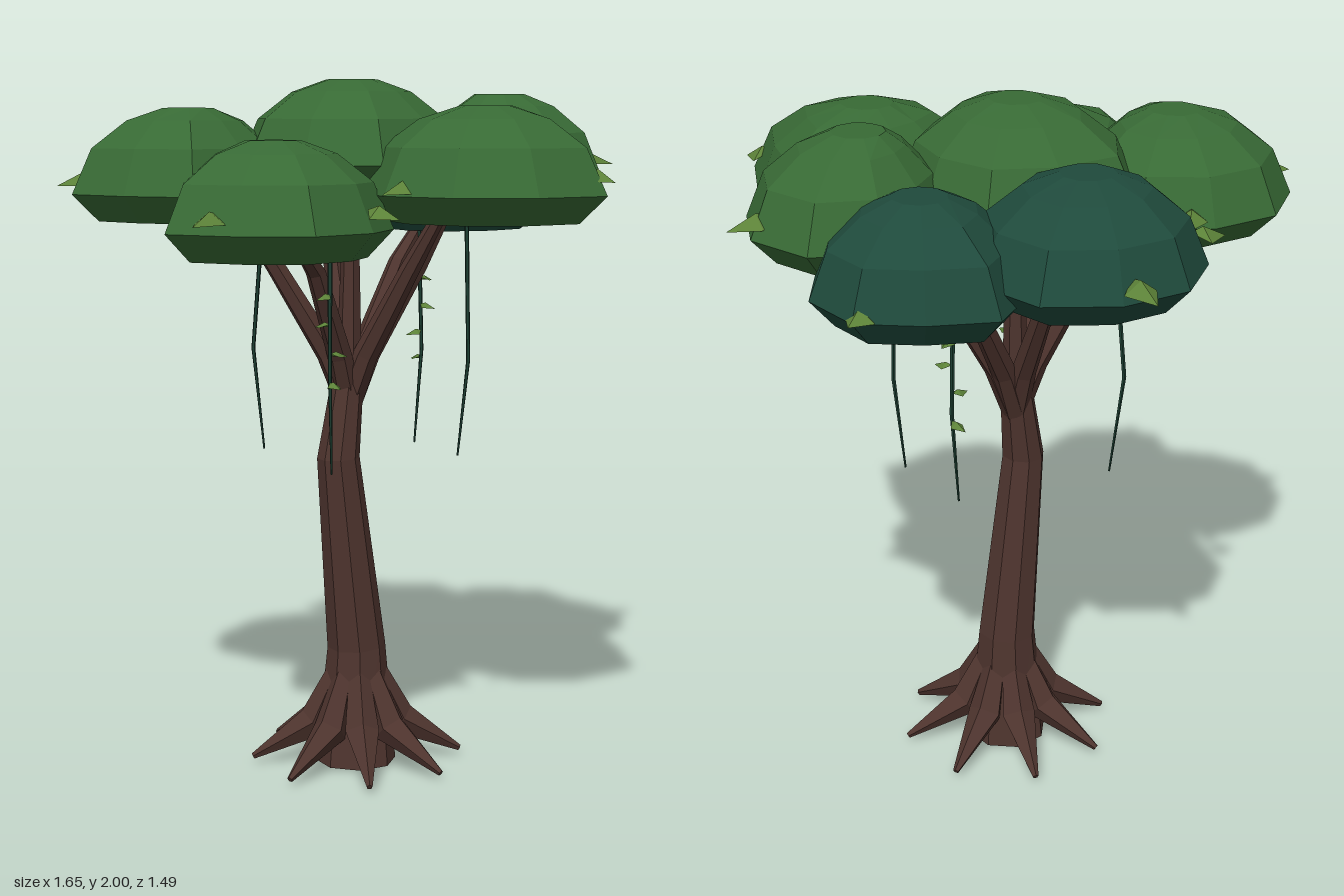
import * as THREE from 'three';

const V = (x, y, z) => new THREE.Vector3(x, y, z);

const mats = {};
for (const [name, color] of [['bark', 0x4e342e], ['leafGreen', 0x386a35], ['deepGreen', 0x1f4a3c],
  ['vineGreen', 0x1b3d30], ['freshLeaf', 0x5c8238]]) {
  mats[name] = new THREE.MeshStandardMaterial({ color });
  mats[name].name = name;
}
mats.freshLeaf.side = THREE.DoubleSide;

// Faceted geometry from triangles given as corner points
function faceted(tris) {
  const g = new THREE.BufferGeometry().setFromPoints(tris);
  g.computeVertexNormals();
  return g;
}

// Skins a stack of closed rings and caps both ends
function loft(rings) {
  const tris = [];
  const n = rings[0].length;
  const middle = (r) => r.reduce((s, p) => s.add(p), V(0, 0, 0)).divideScalar(n);
  const first = rings[0], last = rings[rings.length - 1];
  const c0 = middle(first), c1 = middle(last);
  for (let j = 0; j < n; j++) {
    const k = (j + 1) % n;
    for (let i = 0; i < rings.length - 1; i++) {
      const a = rings[i], b = rings[i + 1];
      tris.push(a[j], a[k], b[k], a[j], b[k], b[j]);
    }
    tris.push(c0, first[k], first[j], c1, last[j], last[k]);
  }
  return faceted(tris);
}

// Tapered limb along a path, one radius per point
function limb(path, radii, sides) {
  return loft(path.map((p, i) => {
    const t = path[Math.min(i + 1, path.length - 1)].clone().sub(path[Math.max(i - 1, 0)]).normalize();
    const u = V(0, 0, 1).cross(t).normalize();
    const v = t.clone().cross(u);
    return Array.from({ length: sides }, (_, j) => {
      const a = (j / sides) * Math.PI * 2;
      return p.clone().addScaledVector(u, radii[i] * Math.cos(a)).addScaledVector(v, radii[i] * Math.sin(a));
    });
  }));
}

// Flat-bottomed dome: [share of radius, height], from the top down
const DOME = [[0.22, 0.31], [0.53, 0.275], [0.83, 0.2], [1, 0.075], [0.78, 0]];
function dome(phase, radii) {
  return loft(DOME.map(([s, y]) => radii.map((r, j) => {
    const a = THREE.MathUtils.degToRad(phase + j * 36);
    const rr = s * (s < 0.5 ? 0.33 : r);
    return V(rr * Math.cos(a), y, rr * Math.sin(a));
  })));
}

// Folded kite-shaped leaf from base to tip
function leaf(base, tip, width) {
  const along = tip.clone().sub(base);
  const side = V(along.z, 0, -along.x).normalize().multiplyScalar(width / 2);
  const mid = base.clone().addScaledVector(along, 0.35);
  const ridge = mid.clone().add(V(0, width * 0.22, 0));
  const l = mid.clone().add(side).add(V(0, -width * 0.15, 0));
  const r = mid.clone().sub(side).add(V(0, -width * 0.15, 0));
  return faceted([base, l, ridge, l, tip, ridge, base, ridge, r, r, ridge, tip]);
}

// Crowns: centre x, base y, centre z, phase in degrees, ten outline radii
const CROWNS = [
  ['leafGreen', 0.02, 1.69, -0.11, -16, [0.335, 0.315, 0.32, 0.31, 0.365, 0.345, 0.34, 0.325, 0.37, 0.33]],
  ['leafGreen', 0.03, 1.615, 0.347, 15, [0.345, 0.31, 0.375, 0.36, 0.355, 0.35, 0.345, 0.28, 0.28, 0.33]],
  ['leafGreen', 0.36, 1.65, 0.165, -8, [0.32, 0.32, 0.3, 0.27, 0.26, 0.235, 0.24, 0.23, 0.235, 0.275]],
  ['leafGreen', -0.34, 1.61, -0.41, -9, [0.33, 0.31, 0.28, 0.28, 0.35, 0.31, 0.34, 0.33, 0.335, 0.325]],
  ['leafGreen', -0.44, 1.525, -0.01, 13, [0.31, 0.32, 0.315, 0.335, 0.32, 0.345, 0.285, 0.28, 0.28, 0.3]],
  ['deepGreen', 0.255, 1.605, -0.44, -7, [0.335, 0.32, 0.31, 0.3, 0.29, 0.28, 0.3, 0.31, 0.32, 0.315]],
  ['deepGreen', 0.5, 1.56, -0.1, 3, [0.3, 0.295, 0.28, 0.27, 0.28, 0.28, 0.28, 0.28, 0.315, 0.27]],
];

// Rim leaves: base x, base z, tip x, tip z, height
const RIM_LEAVES = [
  [-0.55, -0.57, -0.62, -0.65, 1.73], [-0.11, -0.57, -0.01, -0.61, 1.73],
  [0.06, -0.64, -0.03, -0.7, 1.73], [0.425, -0.645, 0.5, -0.75, 1.73],
  [0.75, -0.095, 0.825, -0.09, 1.66], [0.58, 0.29, 0.69, 0.355, 1.78],
  [0.065, 0.65, 0.065, 0.735, 1.75], [-0.25, 0.31, -0.36, 0.29, 1.72],
  [-0.405, 0.28, -0.4, 0.38, 1.66], [-0.7, 0.03, -0.83, 0.06, 1.65],
];

// Vines: three points from the top down, and whether leaves grow on them
const VINES = [
  [[-0.29, 1.62, 0.06], [-0.305, 1.2, 0.07], [-0.275, 0.92, 0.05], true],
  [[0.3, 1.65, -0.08], [0.325, 1.2, -0.085], [0.29, 0.92, -0.085], true],
  [[0.205, 1.72, 0.16], [0.2, 1.2, 0.175], [0.185, 0.92, 0.15], false],
  [[-0.08, 1.68, -0.355], [-0.08, 1.22, -0.405], [-0.075, 0.92, -0.37], false],
];

export function createModel() {
  const model = new THREE.Group();
  model.name = 'tree';
  const add = (name, geometry, mat) => {
    const m = new THREE.Mesh(geometry, mats[mat]);
    m.name = name;
    model.add(m);
    return m;
  };

  // Bent trunk
  add('trunk', limb(
    [V(0, 0, -0.085), V(0.005, 0.35, -0.085), V(-0.055, 0.92, -0.103), V(-0.01, 1.17, -0.1)],
    [0.12, 0.086, 0.062, 0.045], 8), 'bark');

  // Buttress roots
  for (let i = 0; i < 8; i++) {
    const root = add('root', limb(
      [V(0.05, 0.29, 0), V(0.125, 0.12, 0), V(0.31, 0.02, 0)], [0.03, 0.052, 0.009], 5), 'bark');
    root.position.z = -0.08;
    root.rotation.y = (i * Math.PI) / 4;
  }

  // Crowns, each held up by a branch
  for (const [mat, x, y, z, phase, radii] of CROWNS) {
    add('crown', dome(phase, radii), mat).position.set(x, y, z);
    const at = (t, h) => V(-0.01 + (x + 0.01) * t, h, -0.1 + (z + 0.1) * t);
    add('branch', limb([at(0, 1.08), at(0.13, 1.22), at(0.46, 1.47), at(0.72, y + 0.04)],
      [0.04, 0.036, 0.028, 0.018], 6), 'bark');
  }

  // Leaves around the crown rims
  for (const [bx, bz, tx, tz, y] of RIM_LEAVES) {
    add('rimLeaf', leaf(V(bx, y, bz), V(tx, y - 0.025, tz), 0.09), 'freshLeaf');
  }

  // Hanging vines with small leaves
  for (const [a, b, c, leafy] of VINES) {
    const path = [c, b, a].map((p) => V(...p));
    add('vine', limb(path, [0.003, 0.006, 0.007], 5), 'vineGreen');
    for (let i = 0; leafy && i < 4; i++) {
      const y = 1.42 - i * 0.08;
      const base = path[1].clone().lerp(path[2], Math.max(0, (y - b[1]) / (a[1] - b[1])));
      base.y = y;
      const ang = (a[0] < 0 ? Math.PI : 0) + i * 1.7;
      add('vineLeaf', leaf(base, base.clone().add(V(Math.cos(ang) * 0.06, -0.012, Math.sin(ang) * 0.06)), 0.04), 'freshLeaf');
    }
  }
  return model;
}
